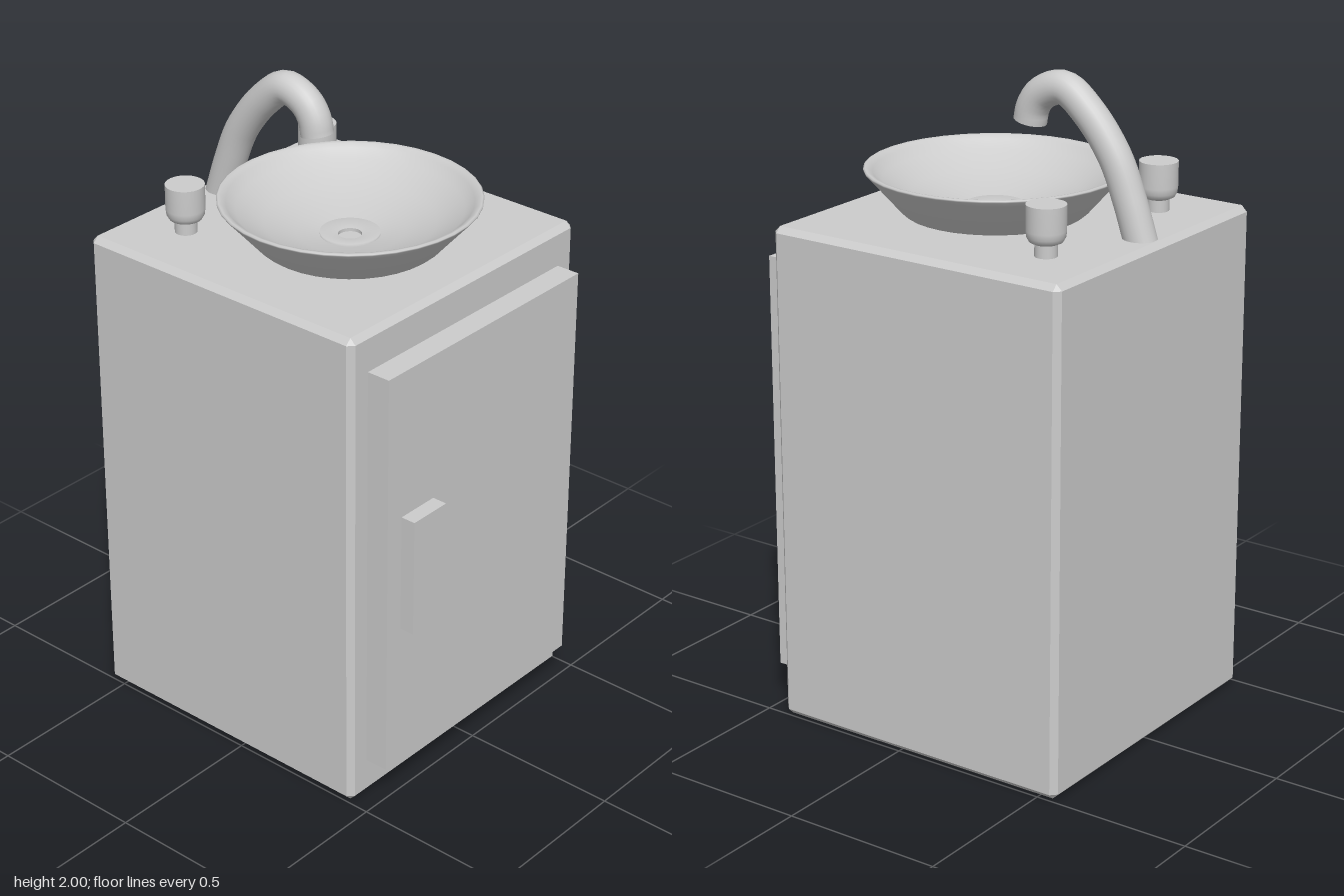
import * as THREE from 'three';
import { ConvexGeometry } from 'three/addons/geometries/ConvexGeometry.js';

const material = new THREE.MeshStandardMaterial({ color: 0xcccccc });

function part(name, geometry, x = 0, y = 0, z = 0) {
  const mesh = new THREE.Mesh(geometry, material);
  mesh.name = name;
  mesh.position.set(x, y, z);
  return mesh;
}

// Box with every edge cut by a flat chamfer
function chamferBox(w, h, d, c) {
  const points = [];
  for (const i of [-0.5, 0.5]) for (const j of [-0.5, 0.5]) for (const k of [-0.5, 0.5]) {
    const corner = new THREE.Vector3(i * w, j * h, k * d);
    const inset = new THREE.Vector3(i, j, k).multiplyScalar(2 * c);
    for (const axis of ['x', 'y', 'z']) {
      const p = corner.clone().sub(inset);
      p[axis] = corner[axis];
      points.push(p);
    }
  }
  return new ConvexGeometry(points);
}

function lathe(profile, segments) {
  return new THREE.LatheGeometry(profile.map(([r, y]) => new THREE.Vector2(r, y)), segments);
}

export function createModel() {
  const model = new THREE.Group();
  model.name = 'washbasinCabinet';

  // Cabinet, door and handle plate
  model.add(part('cabinet', chamferBox(1, 1.545, 1, 0.018), 0, 0.7725, -0.06));
  model.add(part('door', new THREE.BoxGeometry(0.855, 1.305, 0.095), -0.0025, 0.7725, 0.4675));
  model.add(part('doorHandle', new THREE.BoxGeometry(0.14, 0.375, 0.06), -0.3, 0.775, 0.532));

  // Bowl: outer wall, rounded rim, inner cone
  const bowl = lathe([
    [0.255, 1.535], [0.28, 1.555], [0.33, 1.612], [0.37, 1.657], [0.384, 1.672], [0.385, 1.677],
    [0.38, 1.68], [0.37, 1.678], [0.358, 1.668], [0.33, 1.643], [0.25, 1.6], [0.16, 1.573], [0.085, 1.558],
  ], 36);
  model.add(part('bowl', bowl, -0.015, 0, 0.018));

  // Drain ring and its plugged hole
  const drain = new THREE.Group();
  drain.name = 'drain';
  drain.position.set(-0.015, 0, 0.018);
  drain.add(part('drainRing', lathe([[0.088, 1.55], [0.088, 1.566], [0.035, 1.558]], 32).toNonIndexed()));
  drain.add(part('drainHole', lathe([[0.035, 1.558], [0.035, 1.548]], 24)));
  const plug = part('drainFloor', new THREE.CircleGeometry(0.036, 24), 0, 1.548, 0);
  plug.rotation.x = -Math.PI / 2;
  drain.add(plug);
  model.add(drain);

  // Taps on either side of the spout
  for (const [name, x] of [['rightTap', -0.293], ['leftTap', 0.283]]) {
    const tap = new THREE.Group();
    tap.name = name;
    tap.position.set(x, 0, -0.37);
    tap.add(part('tapStem', new THREE.CylinderGeometry(0.033, 0.033, 0.06, 24), 0, 1.565, 0));
    tap.add(part('tapKnob', lathe([
      [0, 1.582], [0.035, 1.582], [0.048, 1.588], [0.056, 1.602], [0.058, 1.62], [0.058, 1.693],
    ], 32)));
    tap.add(part('tapTop', new THREE.CylinderGeometry(0.058, 0.058, 0.004, 32), 0, 1.693, 0));
    model.add(tap);
  }

  // Arched spout, closed at its mouth
  const path = new THREE.CatmullRomCurve3([
    [1.53, -0.493], [1.65, -0.452], [1.77, -0.4], [1.885, -0.31],
    [1.945, -0.225], [1.92, -0.15], [1.875, -0.117], [1.833, -0.108],
  ].map(([y, z]) => new THREE.Vector3(0, y, z)));
  const radius = 0.05;
  const spout = new THREE.Group();
  spout.name = 'spout';
  spout.position.x = -0.013;
  spout.scale.x = 0.95;
  spout.add(part('spoutTube', new THREE.TubeGeometry(path, 40, radius, 24)));
  const end = path.getPointAt(1);
  const mouth = part('spoutMouth', new THREE.CircleGeometry(radius, 24), end.x, end.y, end.z);
  mouth.quaternion.setFromUnitVectors(new THREE.Vector3(0, 0, 1), path.getTangentAt(1));
  spout.add(mouth);
  model.add(spout);

  return model;
}
